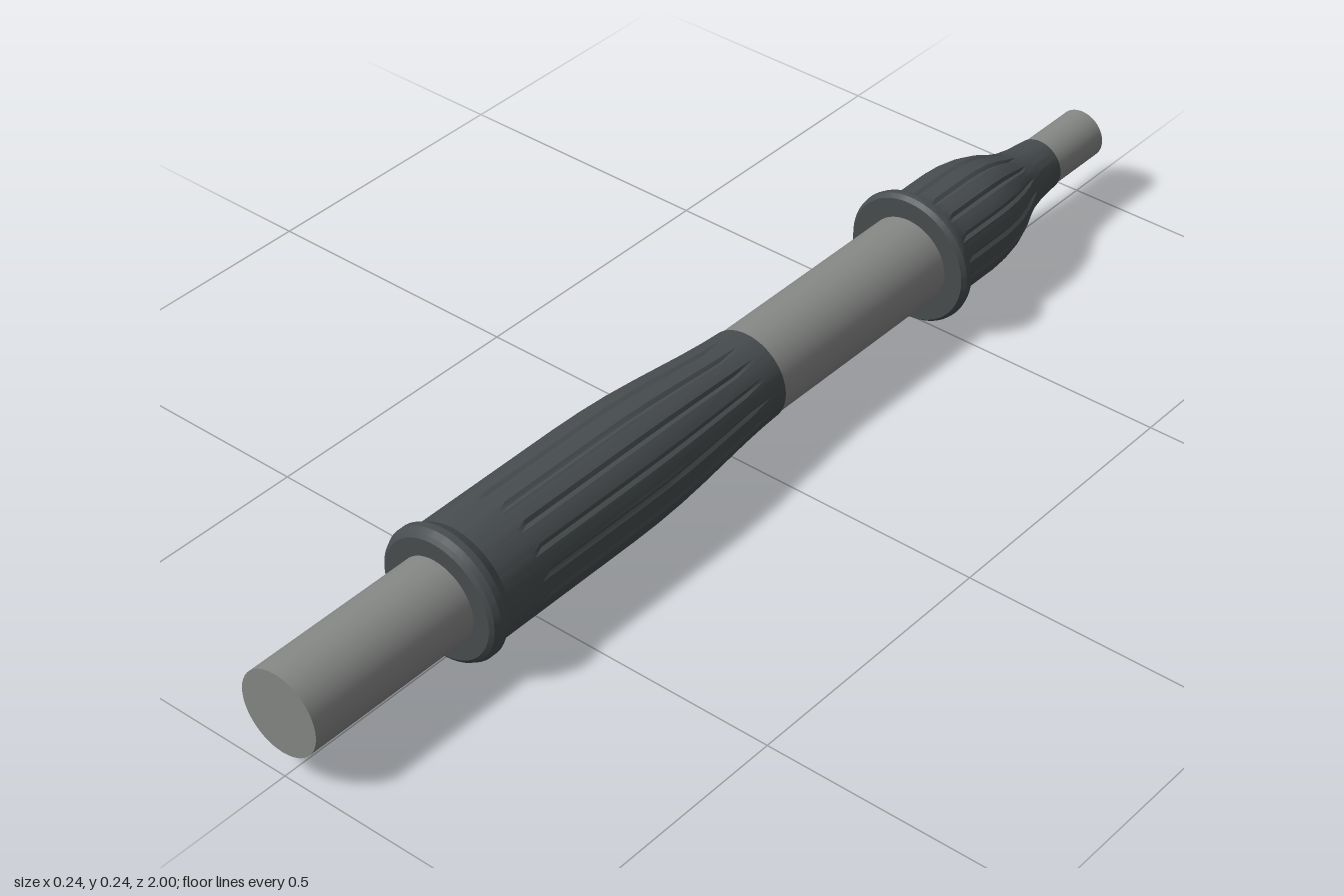
import * as THREE from 'three';
import { toCreasedNormals } from 'three/addons/utils/BufferGeometryUtils.js';

const AXIS_Y = 0.122;
const SEGMENTS = 96;

// Revolves [radius, z] points, listed from back to front, around the z axis.
function revolve(profile, segments = SEGMENTS) {
  const points = profile.map(([r, z]) => new THREE.Vector2(r, z));
  return new THREE.LatheGeometry(points, segments).rotateX(Math.PI / 2);
}

// Sinks evenly spaced lengthwise grooves between z0 and z1.
function cutGrooves(geometry, profile, z0, z1, depth, spacing) {
  const pos = geometry.attributes.position;
  const rows = profile.length;
  for (let i = 0; i < pos.count; i++) {
    const column = Math.floor(i / rows) % SEGMENTS;
    const z = pos.getZ(i);
    if (column % spacing !== spacing / 2 || z < z0 || z > z1) continue;
    const r = Math.hypot(pos.getX(i), pos.getY(i));
    const k = (r - depth) / r;
    pos.setXY(i, pos.getX(i) * k, pos.getY(i) * k);
  }
}

export function createModel() {
  const model = new THREE.Group();
  const metal = new THREE.MeshStandardMaterial({ name: 'grey metal', color: 0x868886 });
  const rubber = new THREE.MeshStandardMaterial({ name: 'dark rubber', color: 0x484d4f });

  // Plain rods, capped at both ends
  function addRod(name, radius, back, front) {
    const geometry = new THREE.CylinderGeometry(radius, radius, front - back, 48).rotateX(Math.PI / 2);
    const rod = new THREE.Mesh(geometry, metal);
    rod.name = name;
    rod.position.set(0, AXIS_Y, (back + front) / 2);
    model.add(rod);
  }
  addRod('frontRod', 0.075, 0.0, 1);
  addRod('middleRod', 0.08, -0.53, 0.0);
  addRod('rearRod', 0.046, -1, -0.8);

  // Grooved, flanged grips
  function addGrip(name, profile, z0, z1) {
    const geometry = revolve(profile);
    cutGrooves(geometry, profile, z0, z1, 0.004, 6);
    const grip = new THREE.Mesh(toCreasedNormals(geometry, 0.45), rubber);
    grip.name = name;
    grip.position.y = AXIS_Y;
    model.add(grip);
  }
  addGrip('frontGrip', [
    [0.078, -0.06], [0.082, -0.06], [0.084, -0.02], [0.088, 0.03], [0.093, 0.08],
    [0.099, 0.14], [0.104, 0.2], [0.107, 0.26], [0.108, 0.32], [0.108, 0.53],
    [0.108, 0.55], [0.108, 0.625], [0.112, 0.632], [0.118, 0.643], [0.118, 0.655],
    [0.113, 0.665], [0.106, 0.67], [0.07, 0.67],
  ], 0.02, 0.54);
  addGrip('rearGrip', [
    [0.044, -0.87], [0.048, -0.87], [0.053, -0.82], [0.06, -0.785], [0.069, -0.76],
    [0.082, -0.73], [0.093, -0.695], [0.099, -0.66], [0.101, -0.63], [0.101, -0.545],
    [0.102, -0.525], [0.106, -0.516], [0.12, -0.51], [0.122, -0.503], [0.121, -0.496],
    [0.115, -0.488], [0.078, -0.488],
  ], -0.77, -0.54);

  return model;
}
